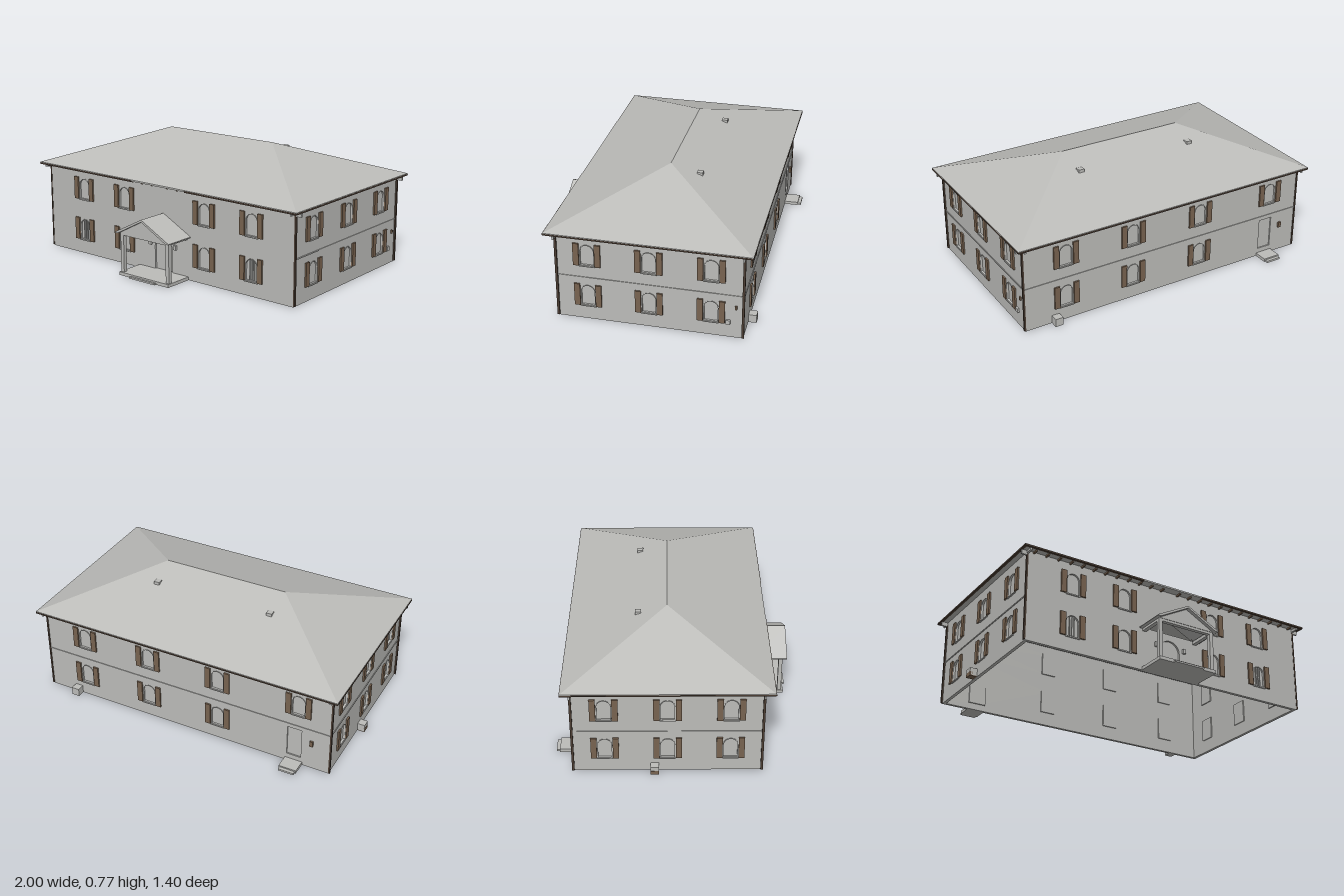
import * as THREE from 'three';

const mat = (name, color) => {
  const m = new THREE.MeshStandardMaterial({ color });
  m.name = name;
  return m;
};

export function createModel() {
  const grey = mat('warm grey', 0xbcbcb9);
  const brown = mat('shutter brown', 0x786350);
  const dark = mat('gutter dark brown', 0x4a3c32);
  const house = new THREE.Group();
  house.name = 'house';

  const H = 0.555, W = 1.906, D = 1.09, ZC = -0.045, T = 0.02;

  const add = (parent, name, geo, m) => {
    const mesh = new THREE.Mesh(geo, m);
    mesh.name = name;
    parent.add(mesh);
    return mesh;
  };
  // box given by its min and max corners
  const box = (parent, name, m, x0, x1, y0, y1, z0, z1) => {
    const b = add(parent, name, new THREE.BoxGeometry(x1 - x0, y1 - y0, z1 - z0), m);
    b.position.set((x0 + x1) / 2, (y0 + y1) / 2, (z0 + z1) / 2);
    return b;
  };
  // arched outline with a flat bottom
  const arch = (path, x, y, r, h) => {
    path.moveTo(x - r, y);
    path.lineTo(x + r, y);
    path.lineTo(x + r, y + h - r);
    path.absarc(x, y + h - r, r, 0, Math.PI, false);
    path.lineTo(x - r, y);
    return path;
  };
  const poly = (pts) => new THREE.Shape(pts.map(([x, y]) => new THREE.Vector2(x, y)));
  const extrude = (shape, depth) =>
    new THREE.ExtrudeGeometry(shape, { depth, bevelEnabled: false, curveSegments: 10 });

  // one window: pane, arched trim, sill and a pair of shutters
  const R = 0.043, WH = 0.135;
  const addWindow = (g, x, y, bars) => {
    const w = new THREE.Group();
    w.name = 'window';
    w.position.set(x, y, 0);
    g.add(w);
    box(w, 'pane', grey, -0.05, 0.05, -0.005, WH + 0.005, -T - 0.008, -T + 0.008);
    const trim = arch(new THREE.Shape(), 0, 0, R, WH);
    trim.holes.push(arch(new THREE.Path(), 0, 0.004, R - 0.004, WH - 0.008));
    add(w, 'windowTrim', extrude(trim, 0.012), grey).position.z = -0.009;
    box(w, 'sill', grey, -0.046, 0.046, -0.006, 0, -0.005, 0.007);
    for (const s of [-1, 1]) {
      const shutter = box(w, 'shutter', brown, -0.0172, 0.0172, 0, 0.142, 0, 0.01);
      shutter.position.x = s * 0.063;
    }
    if (bars) for (const bx of [-0.015, 0, 0.015])
      box(w, 'windowBar', grey, bx - 0.0015, bx + 0.0015, 0, WH - 0.01, -0.012, -0.004);
  };

  // wall with its outer face on local z = 0, windows given as [x, y, bars]
  const addWall = (name, width, windows, holes = []) => {
    const g = new THREE.Group();
    g.name = name;
    const s = poly([[-width / 2, 0], [width / 2, 0], [width / 2, H], [-width / 2, H]]);
    for (const [x, y] of windows) s.holes.push(arch(new THREE.Path(), x, y, R, WH));
    s.holes.push(...holes);
    add(g, 'wallPanel', extrude(s, T), grey).position.z = -T;
    windows.forEach(([x, y, b]) => addWindow(g, x, y, b));
    house.add(g);
    return g;
  };
  const LOW = 0.09, UP = 0.355;
  const rows = (xs) => xs.flatMap((x) => [[x, LOW], [x, UP]]);

  // front wall, with the arched door and the opening into the porch roof
  const gable = new THREE.Path([[-0.19, 0.272], [0.19, 0.272], [0, 0.367]].map(([x, y]) => new THREE.Vector2(x, y)));
  const front = addWall('frontWall', W,
    [-0.66, -0.315, 0.315, 0.66].flatMap((x) => [[x, LOW, Math.abs(x) > 0.5], [x, UP]]),
    [arch(new THREE.Path(), 0, 0.02, 0.068, 0.21), gable]);
  front.position.z = ZC + D / 2;
  box(front, 'frontDoor', grey, -0.075, 0.075, 0.01, 0.235, -T - 0.008, -T + 0.008);
  for (const s of [-1, 1])
    box(front, 'porchLamp', grey, s * 0.098 - 0.009, s * 0.098 + 0.009, 0.17, 0.198, 0, 0.015);

  // back wall, with the service door, steps and lamp (local x is mirrored)
  const back = addWall('backWall', W, [...rows([-0.685, -0.24, 0.23]), [0.75, UP]],
    [poly([[0.685, 0.05], [0.775, 0.05], [0.775, 0.25], [0.685, 0.25]])]);
  back.position.z = ZC - D / 2;
  back.rotation.y = Math.PI;
  box(back, 'backDoor', grey, 0.675, 0.785, 0.04, 0.255, -T - 0.008, -T + 0.012);
  box(back, 'upperStep', grey, 0.675, 0.785, 0, 0.02, 0, 0.088);
  box(back, 'lowerStep', grey, 0.682, 0.778, 0, 0.012, 0.088, 0.108);
  box(back, 'backLamp', brown, 0.83, 0.85, 0.165, 0.2, 0, 0.012);
  box(back, 'utilityBox', grey, -0.785, -0.735, 0, 0.05, 0, 0.048);

  // side walls
  const sides = [1, -1].map((s) => {
    const g = addWall(s > 0 ? 'rightHandWall' : 'leftHandWall', D - 2 * T, rows([-0.358, 0, 0.358]));
    g.position.set(s * W / 2, 0, ZC);
    g.rotation.y = s * Math.PI / 2;
    return g;
  });
  box(sides[0], 'meterBox', grey, 0.445, 0.47, 0.088, 0.115, 0, 0.012);
  box(sides[0], 'sideLamp', brown, 0.495, 0.507, 0.19, 0.212, 0, 0.01);
  box(sides[1], 'utilityBox', grey, -0.1, -0.05, 0.004, 0.05, 0, 0.045);
  box(sides[1], 'utilityBoxBase', brown, -0.1, -0.05, 0, 0.025, 0.001, 0.046);

  // belt course on the back and sides
  for (const [g, w] of [[back, W], [sides[0], D], [sides[1], D]])
    box(g, 'beltCourse', grey, -w / 2, w / 2, 0.272, 0.279, 0, 0.004);

  // hipped roof: flat soffit, short fascia, four slopes
  const E0 = 0.552, E1 = 0.562, RY = 0.775, ZF = 0.553, ZB = -0.64;
  const ring = (y) => [[-1, y, ZF], [1, y, ZF], [1, y, ZB], [-1, y, ZB]];
  const lo = ring(E0), hi = ring(E1);
  const ridgeL = [-0.4, RY, ZC], ridgeR = [0.4, RY, ZC];
  const tris = [];
  const quad = (a, b, c, d) => tris.push(a, b, c, a, c, d);
  for (let i = 0; i < 4; i++) {
    const j = (i + 1) % 4;
    quad(lo[i], lo[j], hi[j], hi[i]);
  }
  quad(hi[0], hi[1], ridgeR, ridgeL);
  quad(hi[2], hi[3], ridgeL, ridgeR);
  tris.push(hi[1], hi[2], ridgeR, hi[3], hi[0], ridgeL);
  quad(lo[3], lo[2], lo[1], lo[0]);
  const roofGeo = new THREE.BufferGeometry();
  roofGeo.setAttribute('position', new THREE.Float32BufferAttribute(tris.flat(), 3));
  roofGeo.computeVertexNormals();
  add(house, 'hippedRoof', roofGeo, grey);

  // roof vents
  for (const x of [-0.383, 0.377])
    box(house, 'roofVent', grey, x - 0.018, x + 0.018, 0.69, 0.727, -0.233, -0.197);

  // gutters, open above the porch
  const g0 = 0.549, g1 = 0.558;
  for (const s of [-1, 1]) {
    box(house, 'frontGutter', dark, Math.min(s * 0.21, s), Math.max(s * 0.21, s), g0, g1, ZF - 0.012, ZF + 0.003);
    const side = box(house, 'sideGutter', dark, -0.0075, 0.0075, g0, g1, ZB, ZF);
    side.position.x = s * 0.994;
    // rafter ends under the front eave
    for (let i = 0; i < 12; i++)
      box(house, 'rafterEnd', brown, s * (0.06 + i * 0.078) - 0.005, s * (0.06 + i * 0.078) + 0.005, 0.542, E0, 0.5, 0.535);
  }
  box(house, 'backGutter', dark, -1, 1, g0, g1, ZB - 0.002, ZB + 0.012);

  // corner downspouts with an elbow out to the gutter
  for (const sx of [-1, 1]) for (const z of [0.495, -0.588]) {
    const x = sx * 0.957;
    box(house, 'downspout', dark, x - 0.005, x + 0.005, 0.005, 0.53, z - 0.007, z + 0.007);
    box(house, 'downspoutElbow', grey, Math.min(x, sx * 0.995), Math.max(x, sx * 0.995), 0.524, 0.55, z - 0.006, z + 0.006);
    const zo = z > 0 ? 0.545 : -0.635;
    box(house, 'downspoutBracket', grey, x - 0.006, x + 0.006, 0.535, 0.55, Math.min(z, zo), Math.max(z, zo));
  }

  // porch: slab, step, columns, beams and gabled roof
  const porch = new THREE.Group();
  porch.name = 'porch';
  house.add(porch);
  box(porch, 'porchFloor', grey, -0.195, 0.195, 0, 0.02, 0.5, 0.685);
  box(porch, 'porchStep', grey, -0.1, 0.1, 0, 0.01, 0.685, 0.7);
  for (const s of [-1, 1]) {
    const c = box(porch, 'porchColumn', grey, -0.012, 0.012, 0.02, 0.255, 0.648, 0.672);
    c.position.x = s * 0.178;
    const b = box(porch, 'porchSideBeam', grey, -0.012, 0.012, 0.25, 0.27, 0.5, 0.672);
    b.position.x = s * 0.178;
  }
  box(porch, 'porchFrontBeam', grey, -0.166, 0.166, 0.25, 0.27, 0.648, 0.672);
  const slopes = poly([[-0.212, 0.265], [-0.19, 0.265], [0, 0.366], [0.19, 0.265], [0.212, 0.265], [0.212, 0.27], [0, 0.38], [-0.212, 0.27]]);
  add(porch, 'porchRoof', extrude(slopes, 0.198), grey).position.z = 0.5;
  add(porch, 'porchGable', extrude(poly([[-0.192, 0.265], [0.192, 0.265], [0, 0.367]]), 0.02), grey).position.z = 0.655;

  return house;
}
